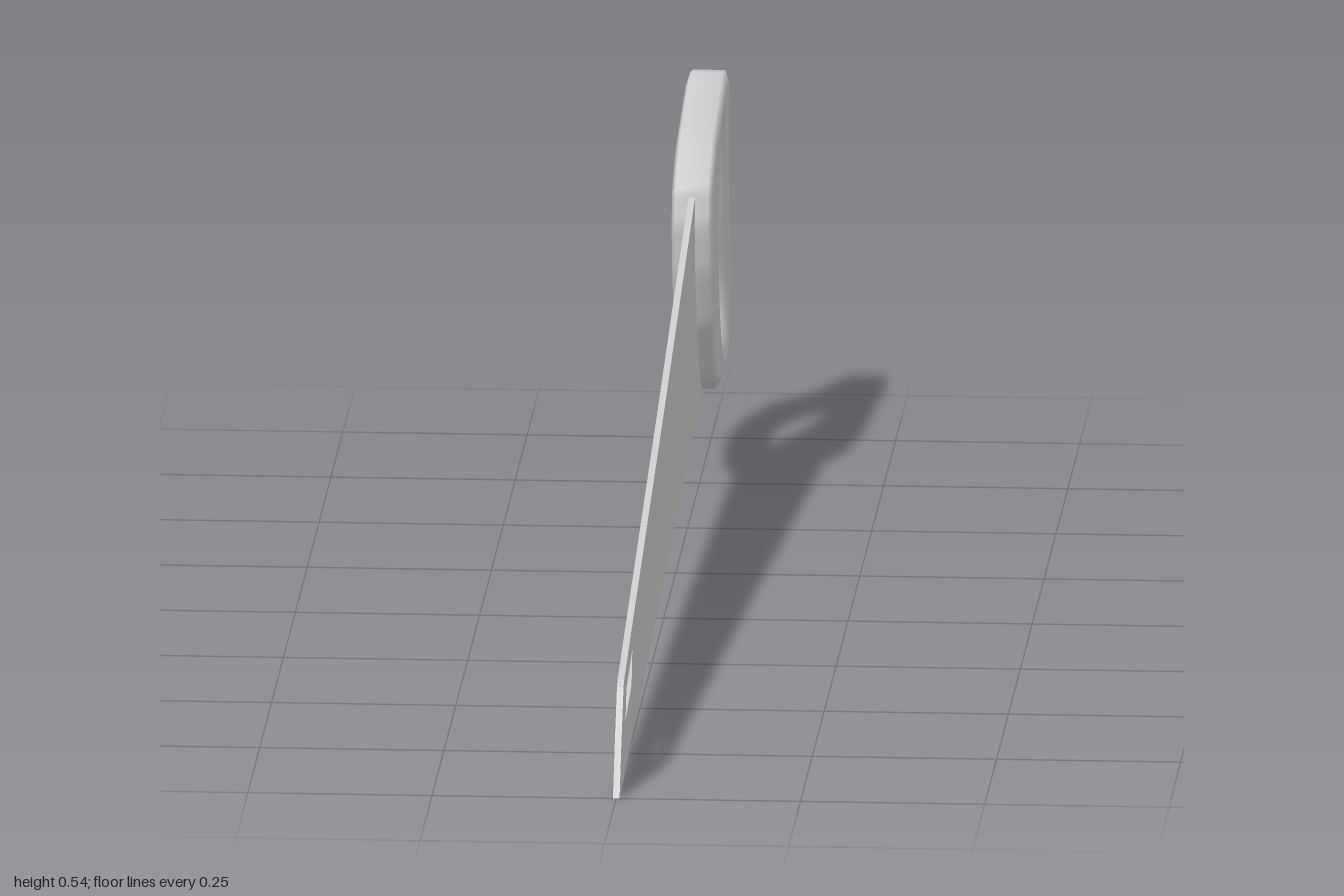
import * as THREE from 'three';

const steel = new THREE.MeshStandardMaterial({ color: 0xcccccc });
steel.name = 'light grey';

// Outlines are written as (u, y), where u runs towards the back (u = -z).
const points = (list) => list.map(([u, y]) => new THREE.Vector2(u, y));

// Tapered blade with a hanging slot near the tip
function makeBlade() {
  const thickness = 0.009;
  const shape = new THREE.Shape(points([
    [-1, 0], [-0.2, 0.06], [0.743, 0.134], [0.735, 0.2], [0.68, 0.42], [0.595, 0.44],
    [-0.06, 0.305], [-0.9, 0.142], [-0.915, 0.134], [-0.96, 0.068],
  ]));
  shape.holes.push(new THREE.Path(points([
    [-0.853, 0.118], [-0.73, 0.14], [-0.745, 0.096], [-0.874, 0.077],
  ])));
  const geometry = new THREE.ExtrudeGeometry(shape, { depth: thickness, bevelEnabled: false });
  geometry.translate(0, 0, -thickness / 2).rotateY(Math.PI / 2);
  const blade = new THREE.Mesh(geometry, steel);
  blade.name = 'blade';
  return blade;
}

// Closed grip: a rounded cross-section lofted between outer edge and finger hole
function makeHandle() {
  const corners = points([
    [0.593, 0.45], [0.625, 0.47], [0.684, 0.497], [0.79, 0.517], [0.903, 0.535], [0.957, 0.525],
    [0.965, 0.487], [0.958, 0.428], [0.964, 0.364], [0.989, 0.3], [1, 0.246], [0.985, 0.182],
    [0.94, 0.139], [0.84, 0.12], [0.743, 0.134], [0.7, 0.155], [0.63, 0.246], [0.594, 0.332],
    [0.582, 0.401],
  ]);
  const holeCurve = new THREE.CatmullRomCurve3([
    [0.813, 0.46], [0.857, 0.452], [0.877, 0.396], [0.893, 0.32], [0.922, 0.235], [0.92, 0.185],
    [0.877, 0.171], [0.829, 0.187], [0.786, 0.24], [0.759, 0.31], [0.759, 0.374], [0.775, 0.428],
  ].map(([u, y]) => new THREE.Vector3(u, y, 0)), true);
  const holeSamples = holeCurve.getSpacedPoints(600).map((p) => new THREE.Vector2(p.x, p.y));
  const centre = new THREE.Vector2(0.84, 0.31);

  // Point of the hole's edge that lies in the same direction as an outer point
  const holePoint = (outer) => {
    const dir = outer.clone().sub(centre).normalize();
    let best = holeSamples[0];
    let bestDot = -2;
    for (const p of holeSamples) {
      const dot = p.clone().sub(centre).normalize().dot(dir);
      if (dot > bestDot) { bestDot = dot; best = p; }
    }
    return best;
  };

  // [measured from: 0 outer edge or 1 hole edge, inset, x]
  const half = [
    [0, 0, 0.022], [0, 0.018, 0.028], [1, 0.034, 0.028],
    [1, 0.018, 0.025], [1, 0.006, 0.016],
  ];
  const section = [
    ...half, [1, 0, 0], ...half.map(([from, inset, x]) => [from, inset, -x]).reverse(),
  ];

  const outline = [];
  const steps = 4;
  corners.forEach((p, i) => {
    const next = corners[(i + 1) % corners.length];
    for (let s = 0; s < steps; s++) outline.push(p.clone().lerp(next, s / steps));
  });

  const position = [];
  const index = [];
  const n = outline.length;
  const m = section.length;
  outline.forEach((outer, i) => {
    const inner = holePoint(outer);
    const inward = inner.clone().sub(outer).normalize();
    for (const [from, inset, x] of section) {
      const p = from === 0
        ? outer.clone().addScaledVector(inward, inset)
        : inner.clone().addScaledVector(inward, -inset);
      position.push(x, p.y, -p.x);
    }
    for (let k = 0; k < m; k++) {
      const a = i * m + k;
      const b = i * m + (k + 1) % m;
      const d = ((i + 1) % n) * m + k;
      const c = ((i + 1) % n) * m + (k + 1) % m;
      index.push(a, b, c, a, c, d);
    }
  });
  const geometry = new THREE.BufferGeometry();
  geometry.setAttribute('position', new THREE.Float32BufferAttribute(position, 3));
  geometry.setIndex(index);
  geometry.computeVertexNormals();
  const handle = new THREE.Mesh(geometry, steel);
  handle.name = 'handle';
  return handle;
}

export function createModel() {
  const saw = new THREE.Group();
  saw.name = 'handSaw';
  saw.add(makeBlade(), makeHandle());
  return saw;
}
